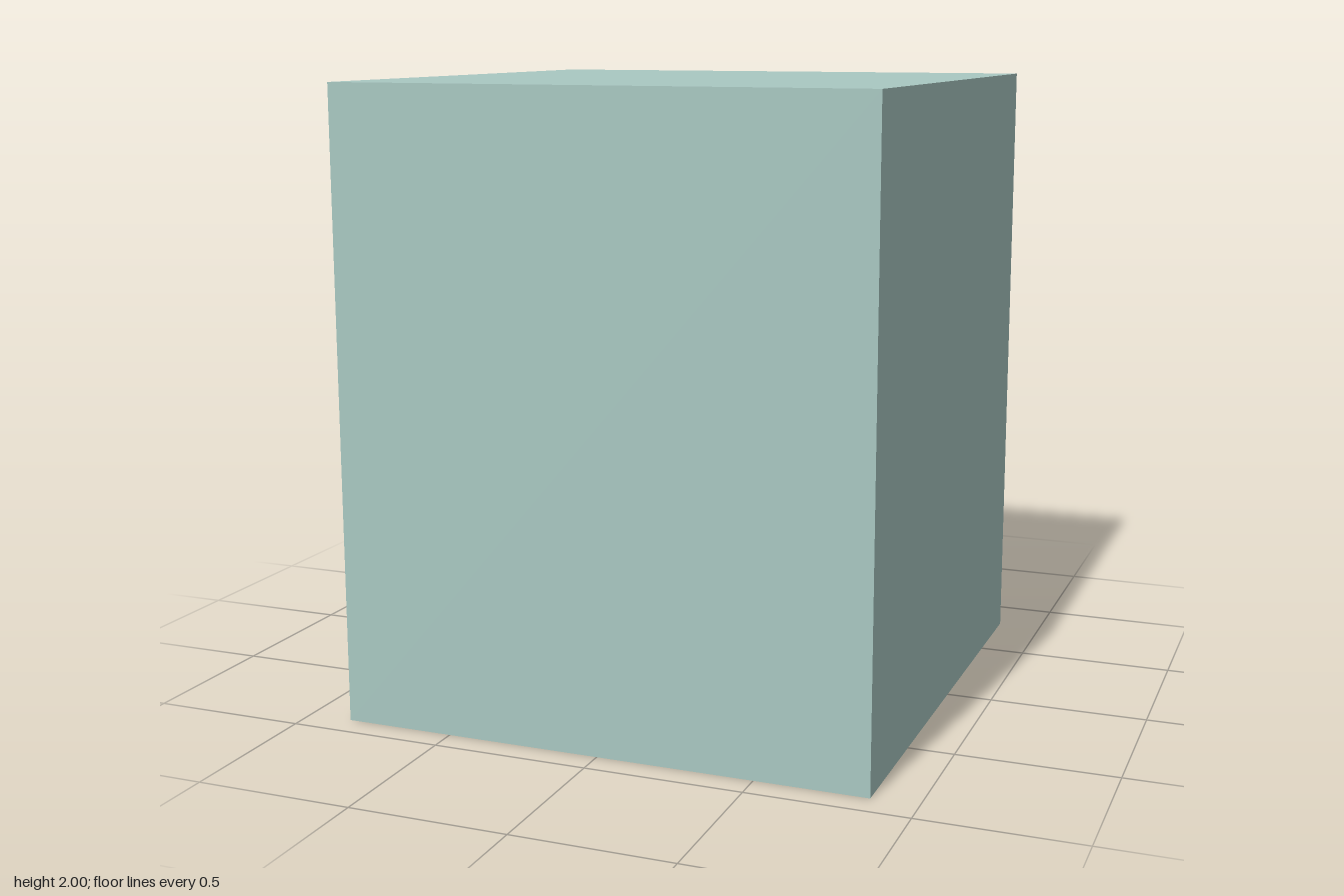
import * as THREE from 'three';

const mat = (name, color, extra = {}) => {
  const m = new THREE.MeshStandardMaterial({ color, flatShading: true, ...extra });
  m.name = name;
  return m;
};

export function createModel() {
  const body = mat('pale sage casing', 0xa9c8c2);
  const teal = mat('teal trim', 0x2fb8a0, { side: THREE.DoubleSide });
  const dark = mat('dark glass', 0x3a3a3a);
  const grey = mat('grey metal', 0xa19d9b);

  const model = new THREE.Group();
  model.name = 'washingMachine';
  const add = (name, geometry, material, x = 0, y = 0, z = 0, parent = model) => {
    const mesh = new THREE.Mesh(geometry, material);
    mesh.name = name;
    mesh.position.set(x, y, z);
    parent.add(mesh);
    return mesh;
  };
  // Disc whose axis runs along z
  const disc = (r, depth, sides) => new THREE.CylinderGeometry(r, r, depth, sides).rotateX(Math.PI / 2);

  // Casing
  add('casing', new THREE.BoxGeometry(1.71, 2, 1.71), body, 0, 1, 0.055);

  // Control panel with bevelled edges
  const panel = new THREE.BoxGeometry(1.71, 0.285, 0.04);
  const pp = panel.attributes.position;
  for (let i = 0; i < pp.count; i++) {
    if (pp.getZ(i) > 0) continue;
    pp.setX(i, Math.sign(pp.getX(i)) * 0.82);
    pp.setY(i, pp.getY(i) > 0 ? 0.09 : -0.1025);
  }
  panel.computeVertexNormals();
  add('controlPanel', panel, teal, 0, 1.8225, -0.82);
  add('display', new THREE.BoxGeometry(0.425, 0.175, 0.008), dark, -0.447, 1.805, -0.841);
  add('dial', disc(0.073, 0.04, 12), grey, 0, 1.825, -0.856);
  for (const x of [0.165, 0.31]) add('button', disc(0.033, 0.008, 12), dark, x, 1.845, -0.841);

  // Door: twelve flat-sided segments swept from a rim profile of [apothem, z]
  const door = new THREE.Group();
  door.name = 'door';
  door.position.y = 0.86;
  model.add(door);

  const SIDES = 12, STEP = Math.PI * 2 / SIDES;
  const rim = [[0.715, -0.8], [0.715, -0.875], [0.68, -0.908], [0.61, -0.87]];
  const gripRim = [[0.665, -0.8], [0.665, -0.84], ...rim.slice(1)];
  const verts = [];
  const at = ([a, z], angle) => {
    const r = a / Math.cos(STEP / 2);
    return [r * Math.cos(angle), r * Math.sin(angle), z];
  };
  const quad = (a, b, c, d) => verts.push(...a, ...b, ...c, ...a, ...c, ...d);
  for (let k = 0; k < SIDES; k++) {
    const a0 = (k - 0.5) * STEP, a1 = a0 + STEP;
    const profile = k === SIDES / 2 ? gripRim : rim;
    for (let i = 0; i + 1 < profile.length; i++) {
      quad(at(profile[i], a0), at(profile[i], a1), at(profile[i + 1], a1), at(profile[i + 1], a0));
    }
    // End walls of the finger recess
    if (profile === gripRim) {
      for (const a of [a0, a1]) quad(at(rim[0], a), at(rim[1], a), at(gripRim[1], a), at(gripRim[0], a));
    }
  }
  const ring = new THREE.BufferGeometry();
  ring.setAttribute('position', new THREE.Float32BufferAttribute(verts, 3));
  ring.computeVertexNormals();
  add('doorRing', ring, teal, 0, 0, 0, door);

  // Hinge block on the side opposite the recess
  const hinge = new THREE.Shape();
  hinge.moveTo(0.7, 0.8);
  hinge.lineTo(0.75, 0.8);
  hinge.lineTo(0.75, 0.84);
  hinge.lineTo(0.715, 0.875);
  hinge.lineTo(0.7, 0.87);
  hinge.closePath();
  const hingeGeo = new THREE.ExtrudeGeometry(hinge, { depth: 0.382, bevelEnabled: false });
  hingeGeo.rotateX(-Math.PI / 2);
  add('doorHinge', hingeGeo, teal, 0, -0.191, 0, door);

  // Window
  const glass = disc(0.61 / Math.cos(STEP / 2), 0.008, SIDES).rotateZ(STEP / 2);
  add('doorGlass', glass, dark, 0, 0, -0.866, door);

  // Diagonal rows of dots: [first column, last column, u + v], on a fixed grid
  const GRID = 0.072;
  const rows = [[0, 8, 0.574], [3, 8, 0.79], [-8, 1, -0.5], [-8, -2, -0.72]];
  const dot = disc(0.043, 0.006, 6);
  for (const [from, to, sum] of rows) {
    for (let i = from; i <= to; i++) {
      const u = i * GRID;
      add('windowDot', dot, grey, -u, sum - u, -0.87, door);
    }
  }
  return model;
}
